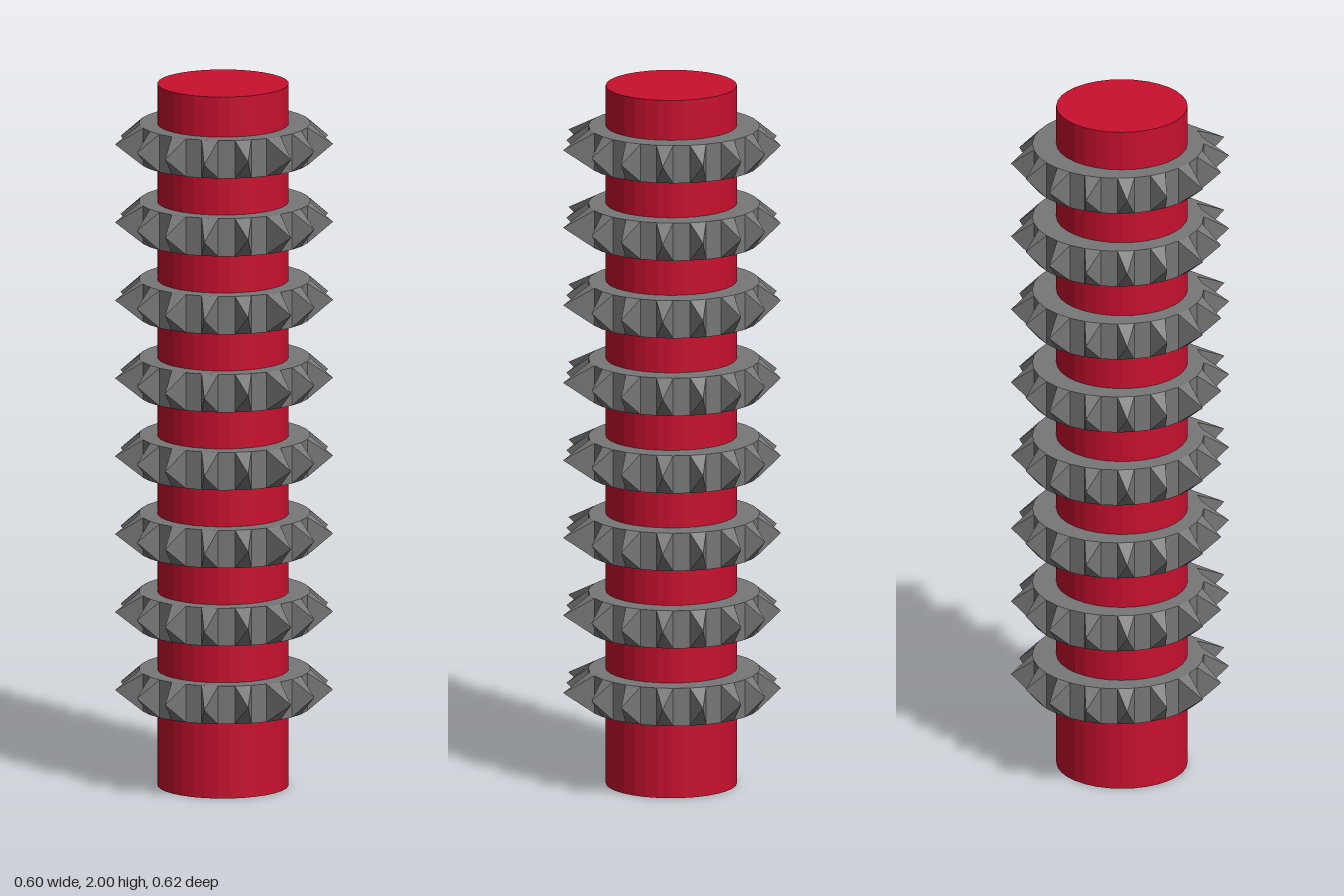
import * as THREE from 'three';

const SIDES = 32, RING_R = 0.239, RING_H = 0.108, RINGS = 8, PITCH = 2 / 9;
const RING_X = 0.008, RING_Z = -0.014;

// Spike tips [x, z], clockwise from the back; each sits on every second wall face
const TIPS = [
  [-0.021, -0.312], [0.094, -0.291], [0.199, -0.245], [0.262, -0.15],
  [0.301, -0.043], [0.301, 0.075], [0.237, 0.173], [0.16, 0.27],
  [0.038, 0.286], [-0.088, 0.307], [-0.188, 0.227], [-0.256, 0.129],
  [-0.303, 0.011], [-0.274, -0.1], [-0.215, -0.198], [-0.131, -0.277],
];

// Four-sided pyramids drawn out of alternate faces of the collar wall
function spikeGeometry() {
  const pos = [];
  const corner = (k, y) => {
    const a = (k / SIDES) * Math.PI * 2;
    return [RING_X + RING_R * Math.sin(a), y, RING_Z - RING_R * Math.cos(a)];
  };
  TIPS.forEach(([x, z], i) => {
    const k = 2 * i - 1, h = RING_H / 2;
    const base = [corner(k + 1, -h), corner(k, -h), corner(k, h), corner(k + 1, h)];
    const tip = [x, 0.005, z];
    base.forEach((c, j) => pos.push(...c, ...base[(j + 1) % 4], ...tip));
  });
  const g = new THREE.BufferGeometry();
  g.setAttribute('position', new THREE.Float32BufferAttribute(pos, 3));
  g.computeVertexNormals();
  return g;
}

export function createModel() {
  const model = new THREE.Group();
  model.name = 'spikedColumn';
  const red = new THREE.MeshStandardMaterial({ color: 0xc8102e, flatShading: true });
  const grey = new THREE.MeshStandardMaterial({ color: 0x777777, flatShading: true });

  // Central shaft
  const shaft = new THREE.Mesh(new THREE.CylinderGeometry(0.183, 0.183, 2, SIDES), red);
  shaft.name = 'shaft';
  shaft.position.set(0.002, 1, -0.005);
  model.add(shaft);

  // Evenly spaced spiked collars
  const ringGeo = new THREE.CylinderGeometry(RING_R, RING_R, RING_H, SIDES);
  ringGeo.translate(RING_X, 0, RING_Z);
  const spikeGeo = spikeGeometry();
  for (let i = 1; i <= RINGS; i++) {
    const collar = new THREE.Group();
    collar.name = `collar${i}`;
    collar.position.y = i * PITCH + RING_H / 2;
    const ring = new THREE.Mesh(ringGeo, grey);
    ring.name = 'ring';
    const spikes = new THREE.Mesh(spikeGeo, grey);
    spikes.name = 'spikes';
    collar.add(ring, spikes);
    model.add(collar);
  }
  return model;
}
